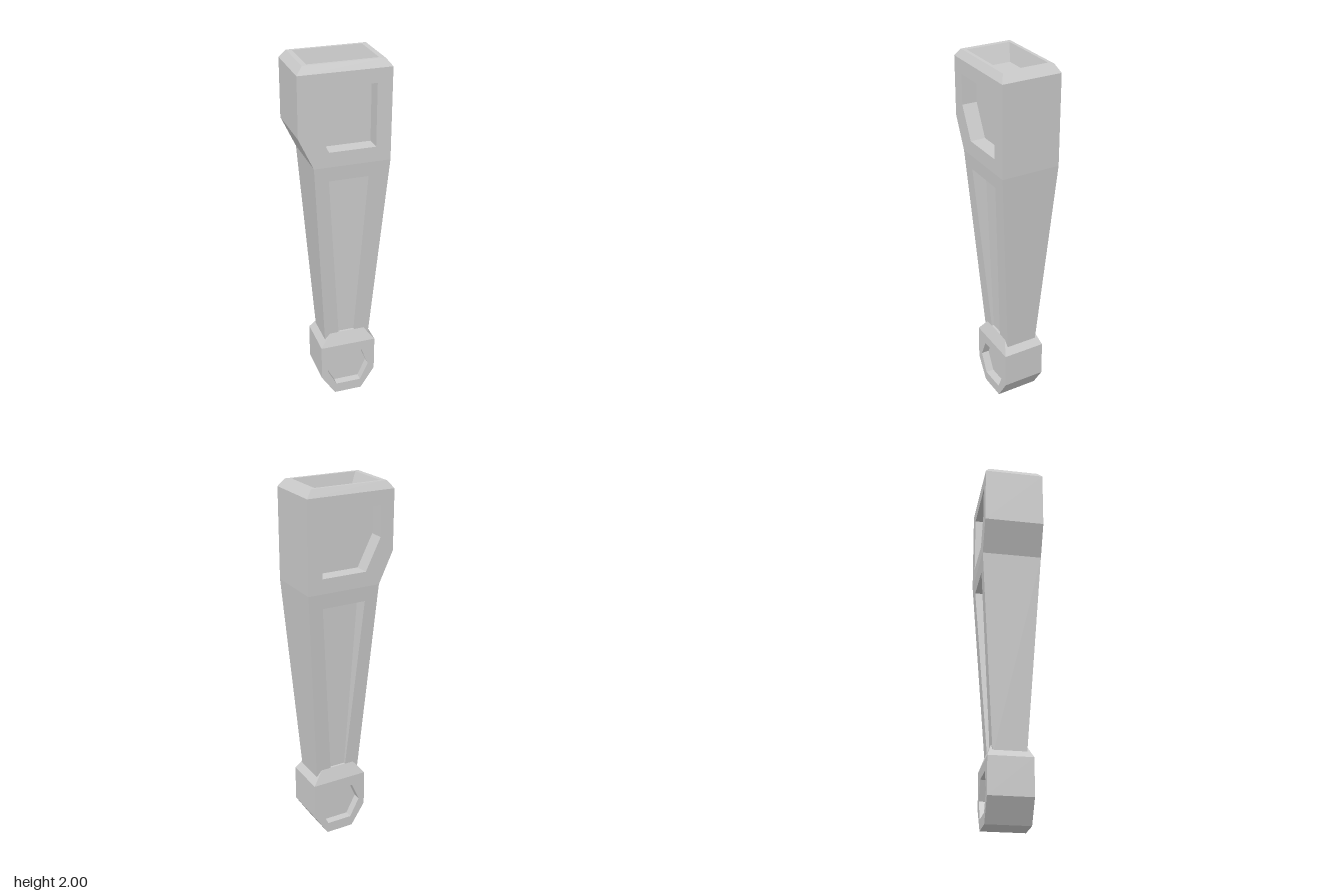
import * as THREE from 'three';

const material = new THREE.MeshStandardMaterial({ color: 0xcccccc, flatShading: true });

function makeMesh(name, positions) {
  const geometry = new THREE.BufferGeometry();
  geometry.setAttribute('position', new THREE.Float32BufferAttribute(positions, 3));
  geometry.computeVertexNormals();
  const mesh = new THREE.Mesh(geometry, material);
  mesh.name = name;
  return mesh;
}

const addQuad = (out, a, b, c, d) => out.push(...a, ...b, ...c, ...a, ...c, ...d);

// Flat polygon with optional hole, its depth set by a rule of y
function addPlate(out, outline, hole, depthAt) {
  const toPoints = (list) => list.map(([x, y]) => new THREE.Vector2(x, y));
  const shape = new THREE.Shape(toPoints(outline));
  if (hole) shape.holes.push(new THREE.Path(toPoints(hole)));
  const p = new THREE.ShapeGeometry(shape).toNonIndexed().attributes.position;
  for (let i = 0; i < p.count; i++) out.push(p.getX(i), p.getY(i), depthAt(p.getY(i)));
}

// Slab with a straight-walled pocket in front and back; outlines run anticlockwise.
// Edges listed in openEdges adjoin another part and get no wall.
function pocketSlab(name, outline, pocket, depthAt, floorZ, openEdges) {
  const front = [];
  addPlate(front, outline, pocket, depthAt);
  addPlate(front, pocket, null, () => floorZ);
  pocket.forEach(([ax, ay], i) => {
    const [bx, by] = pocket[(i + 1) % pocket.length];
    addQuad(front, [ax, ay, depthAt(ay)], [bx, by, depthAt(by)], [bx, by, floorZ], [ax, ay, floorZ]);
  });

  // Mirror to the back, reversing the corner order
  const out = [...front];
  for (let i = 0; i < front.length; i += 9) {
    for (const k of [0, 6, 3]) out.push(front[i + k], front[i + k + 1], -front[i + k + 2]);
  }

  // Outer side walls
  outline.forEach(([ax, ay], i) => {
    if (openEdges.includes(i)) return;
    const [bx, by] = outline[(i + 1) % outline.length];
    const za = depthAt(ay), zb = depthAt(by);
    addQuad(out, [ax, ay, za], [ax, ay, -za], [bx, by, -zb], [bx, by, zb]);
  });
  return makeMesh(name, out);
}

// Rectangular rings [x0, x1, halfDepth, y] joined in order, the last one capped
function rectLoft(name, rings) {
  const out = [];
  const loops = rings.map(([x0, x1, z, y]) => [[x0, y, z], [x1, y, z], [x1, y, -z], [x0, y, -z]]);
  for (let r = 0; r < loops.length - 1; r++) {
    for (let i = 0; i < 4; i++) {
      const j = (i + 1) % 4;
      addQuad(out, loops[r][i], loops[r][j], loops[r + 1][j], loops[r + 1][i]);
    }
  }
  addQuad(out, ...loops[loops.length - 1]);
  return makeMesh(name, out);
}

export function createModel() {
  const model = new THREE.Group();
  model.name = 'strut';

  // Head block with the cut corner
  model.add(pocketSlab('head',
    [[-0.165, 1.47], [0.245, 1.47], [0.245, 1.96], [-0.245, 1.96], [-0.245, 1.64]],
    [[-0.085, 1.55], [0.165, 1.55], [0.165, 1.885], [-0.17, 1.885], [-0.17, 1.72]],
    () => 0.163, 0.08, [0, 2]));

  // Bevelled rim and sunken socket on top
  model.add(rectLoft('topSocket', [
    [-0.245, 0.245, 0.163, 1.96],
    [-0.212, 0.212, 0.141, 2],
    [-0.185, 0.185, 0.123, 2],
    [-0.144, 0.144, 0.103, 1.91],
  ]));

  // Tapering shaft, its lower end set into the foot
  model.add(pocketSlab('shaft',
    [[-0.088, 0.34], [0.168, 0.34], [0.245, 1.47], [-0.165, 1.47]],
    [[-0.006, 0.36], [0.081, 0.36], [0.162, 1.39], [-0.085, 1.39]],
    (y) => 0.088 + 0.075 * (y - 0.34) / 1.13, 0.08, [0, 2]));

  // Foot block with hexagonal pockets
  model.add(pocketSlab('foot',
    [[-0.04, 0], [0.12, 0], [0.2, 0.125], [0.2, 0.33], [-0.12, 0.33], [-0.12, 0.125]],
    [[-0.03, 0.06], [0.115, 0.06], [0.162, 0.165], [0.12, 0.27], [-0.04, 0.27], [-0.085, 0.165]],
    () => 0.12, 0.075, [3]));

  // Sloped collar where the foot meets the shaft
  model.add(rectLoft('footCollar', [
    [-0.12, 0.2, 0.12, 0.33],
    [-0.06, 0.14, 0.092, 0.405],
  ]));

  return model;
}
